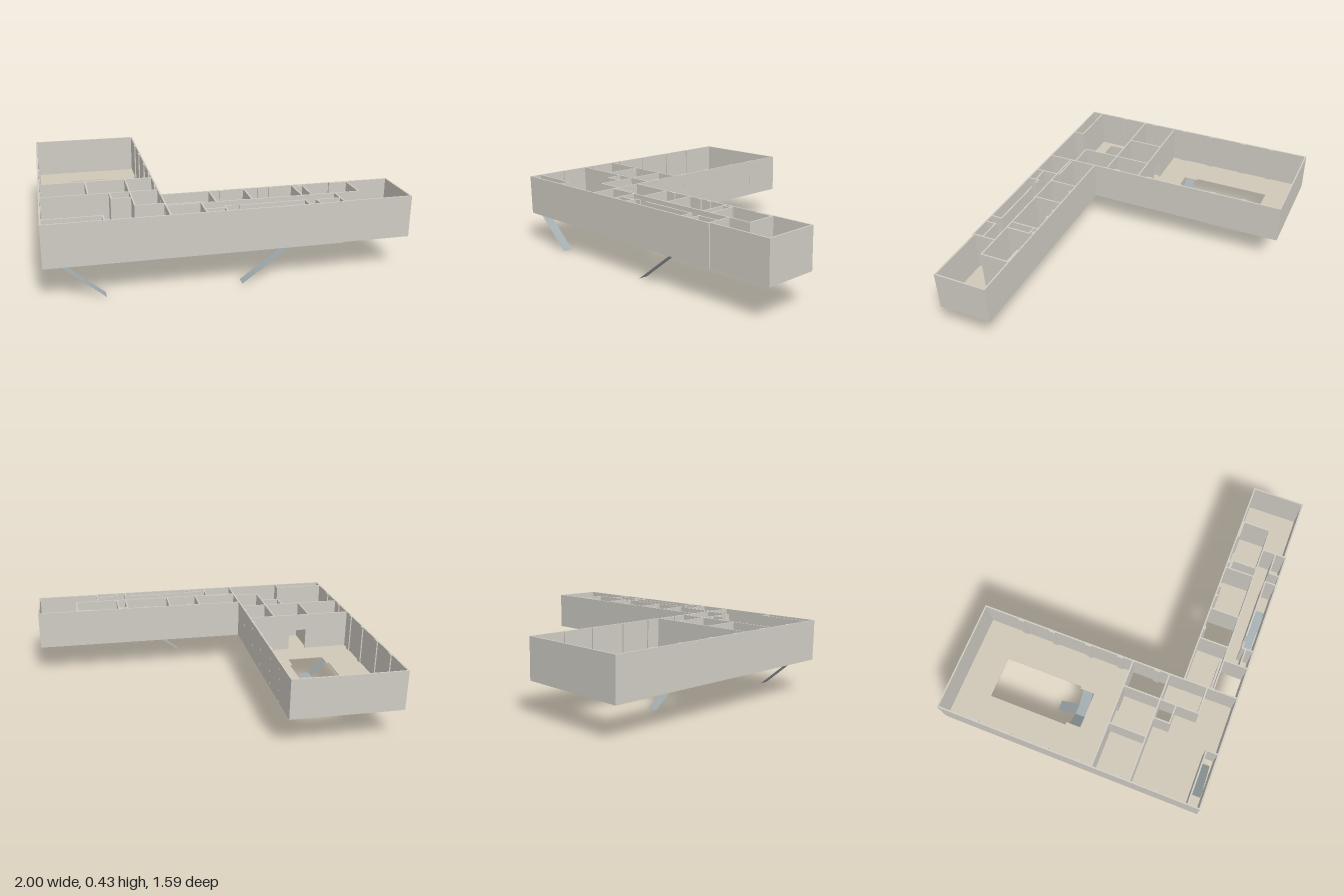
import * as THREE from 'three';

const BASE = 0.192, FLOOR = 0.196, TOP = 0.43, T = 0.009;

const wallMat = new THREE.MeshStandardMaterial({ color: 0xd0ccc4 });
const floorMat = new THREE.MeshStandardMaterial({ color: 0xd0c8b8 });
const stairMat = new THREE.MeshStandardMaterial({ color: 0xa3adb0, side: THREE.DoubleSide });

// Box spanning given ranges on plan and in height
function block(name, x0, x1, z0, z1, y0 = BASE, y1 = TOP) {
  const mesh = new THREE.Mesh(new THREE.BoxGeometry(x1 - x0, y1 - y0, z1 - z0), wallMat);
  mesh.position.set((x0 + x1) / 2, (y0 + y1) / 2, (z0 + z1) / 2);
  mesh.name = name;
  return mesh;
}

// Walls along x (at a fixed z) and along z (at a fixed x)
const wallX = (name, z, x0, x1, y0) => block(name, x0 - T / 2, x1 + T / 2, z - T / 2, z + T / 2, y0);
const wallZ = (name, x, z0, z1, y0) => block(name, x - T / 2, x + T / 2, z0 - T / 2, z1 + T / 2, y0);

const points = (list) => list.map(([x, z]) => new THREE.Vector2(x, z));
const rect = (x0, x1, z0, z1) => points([[x0, z0], [x1, z0], [x1, z1], [x0, z1]]);

// Sloped or level thin panel from (x0,z0) to (x1,z1), rising along one axis
function ramp(name, x0, x1, z0, z1, yStart, yEnd, axis) {
  const geo = new THREE.PlaneGeometry(x1 - x0, z1 - z0).rotateX(-Math.PI / 2);
  geo.translate((x0 + x1) / 2, 0, (z0 + z1) / 2);
  const pos = geo.attributes.position;
  for (let i = 0; i < pos.count; i++) {
    const t = axis === 'x' ? (pos.getX(i) - x0) / (x1 - x0) : (pos.getZ(i) - z0) / (z1 - z0);
    pos.setY(i, THREE.MathUtils.lerp(yStart, yEnd, t));
  }
  geo.computeVertexNormals();
  const mesh = new THREE.Mesh(geo, stairMat);
  mesh.name = name;
  return mesh;
}

function createFloor() {
  const shape = new THREE.Shape(points([
    [-1, -0.797], [-0.337, -0.797], [-0.337, 0.46], [0.997, 0.46],
    [0.997, 0.782], [0.605, 0.782], [0.605, 0.79], [-1, 0.79],
  ]));
  const holes = [
    // courtyard with a narrower stair well at its end
    points([[-0.793, -0.597], [-0.542, -0.597], [-0.542, -0.11], [-0.557, -0.11],
      [-0.557, -0.02], [-0.777, -0.02], [-0.777, -0.11], [-0.793, -0.11]]),
    rect(-0.498, -0.343, 0.154, 0.371), // shafts
    rect(-0.61, -0.504, 0.379, 0.468),
    rect(-0.335, -0.154, 0.646, 0.782),
    rect(-0.064, 0.127, 0.466, 0.636),
    rect(-0.907, -0.683, 0.72, 0.78), // stair openings
    rect(0.046, 0.305, 0.72, 0.78),
  ];
  holes.forEach((h) => shape.holes.push(new THREE.Path(h)));
  const geo = new THREE.ExtrudeGeometry(shape, { depth: FLOOR - BASE, bevelEnabled: false });
  geo.rotateX(Math.PI / 2);
  const mesh = new THREE.Mesh(geo, floorMat);
  mesh.position.y = FLOOR;
  mesh.name = 'floor';
  return mesh;
}

function createOuterWalls() {
  const g = new THREE.Group();
  g.name = 'outerWalls';
  g.add(
    wallX('backWall', -0.793, -0.995, -0.342),
    wallZ('rightSideWall', -0.995, -0.793, 0.785),
    wallZ('innerSideWall', -0.341, -0.793, 0.46),
    wallX('frontWall', 0.786, -0.995, 0.605),
    wallX('endFrontWall', 0.778, 0.605, 0.993),
    wallX('wingBackWall', 0.464, -0.341, 0.993),
    wallZ('wingEndWall', 0.993, 0.464, 0.778),
  );
  // Shallow piers along the long wing
  for (const z of [-0.56, -0.36, -0.13, 0.07, 0.3, 0.53]) {
    g.add(block('pier', -0.999, -0.983, z - 0.018, z + 0.018));
    if (z < 0.4) g.add(block('pier', -0.353, -0.336, z - 0.018, z + 0.018));
  }
  // Small piers along the short wing
  for (const [x, w] of [[0, 0.012], [0.22, 0.008], [0.29, 0.012], [0.46, 0.012], [0.69, 0.055]]) {
    g.add(block('wingPier', x - w, x + w, 0.46, 0.478));
  }
  return g;
}

function createPartitions() {
  const g = new THREE.Group();
  g.name = 'partitions';
  // [z, x from, x to]
  const alongX = [
    [0.15, -0.995, -0.72], [0.15, -0.6, -0.341], [0.375, -0.995, -0.341],
    [0.472, -0.612, -0.5], [0.605, -0.5, -0.341], [0.625, -0.341, -0.15],
    [0.641, -0.341, 0.745], [0.49, 0.415, 0.472], [0.738, -0.15, -0.04],
    [0.717, -0.04, -0.005], [0.717, 0.045, 0.408], [0.722, 0.47, 0.605],
    [0.717, -0.995, -0.68],
  ];
  // [x, z from, z to]
  const alongZ = [
    [-0.73, 0.15, 0.375], [-0.5, 0.15, 0.605], [-0.612, 0.375, 0.472],
    [-0.339, 0.464, 0.786], [-0.15, 0.641, 0.786], [-0.068, 0.464, 0.641],
    [0.131, 0.464, 0.641], [0.415, 0.464, 0.641], [0.472, 0.49, 0.641],
    [0.745, 0.464, 0.641], [0.605, 0.641, 0.782], [-0.04, 0.717, 0.786],
    [0.408, 0.717, 0.786], [0.47, 0.722, 0.786], [-0.68, 0.717, 0.786],
  ];
  alongX.forEach(([z, a, b]) => g.add(wallX('partition', z, a, b)));
  alongZ.forEach(([x, a, b]) => g.add(wallZ('partition', x, a, b)));
  // Wall above the courtyard-side doorway
  g.add(wallX('doorLintel', 0.15, -0.72, -0.6, 0.325));
  return g;
}

function createStairs() {
  const g = new THREE.Group();
  g.name = 'stairs';
  const mid = 0.098;
  g.add(
    // Courtyard stair: one flight to a landing, then two side flights
    ramp('lowerFlight', -0.693, -0.63, -0.218, -0.092, 0, mid, 'z'),
    ramp('landing', -0.693, -0.63, -0.092, -0.03, mid, mid, 'x'),
    ramp('sideFlightRight', -0.777, -0.693, -0.092, -0.03, BASE, mid, 'x'),
    ramp('sideFlightLeft', -0.63, -0.557, -0.092, -0.03, mid, BASE, 'x'),
    // Straight stairs under the front wall
    ramp('frontStairRight', -0.907, -0.683, 0.724, 0.782, BASE, 0, 'x'),
    ramp('frontStairLeft', 0.046, 0.305, 0.724, 0.782, 0, BASE, 'x'),
  );
  return g;
}

export function createModel() {
  const model = new THREE.Group();
  model.name = 'building';
  model.add(createFloor(), createOuterWalls(), createPartitions(), createStairs());
  return model;
}
